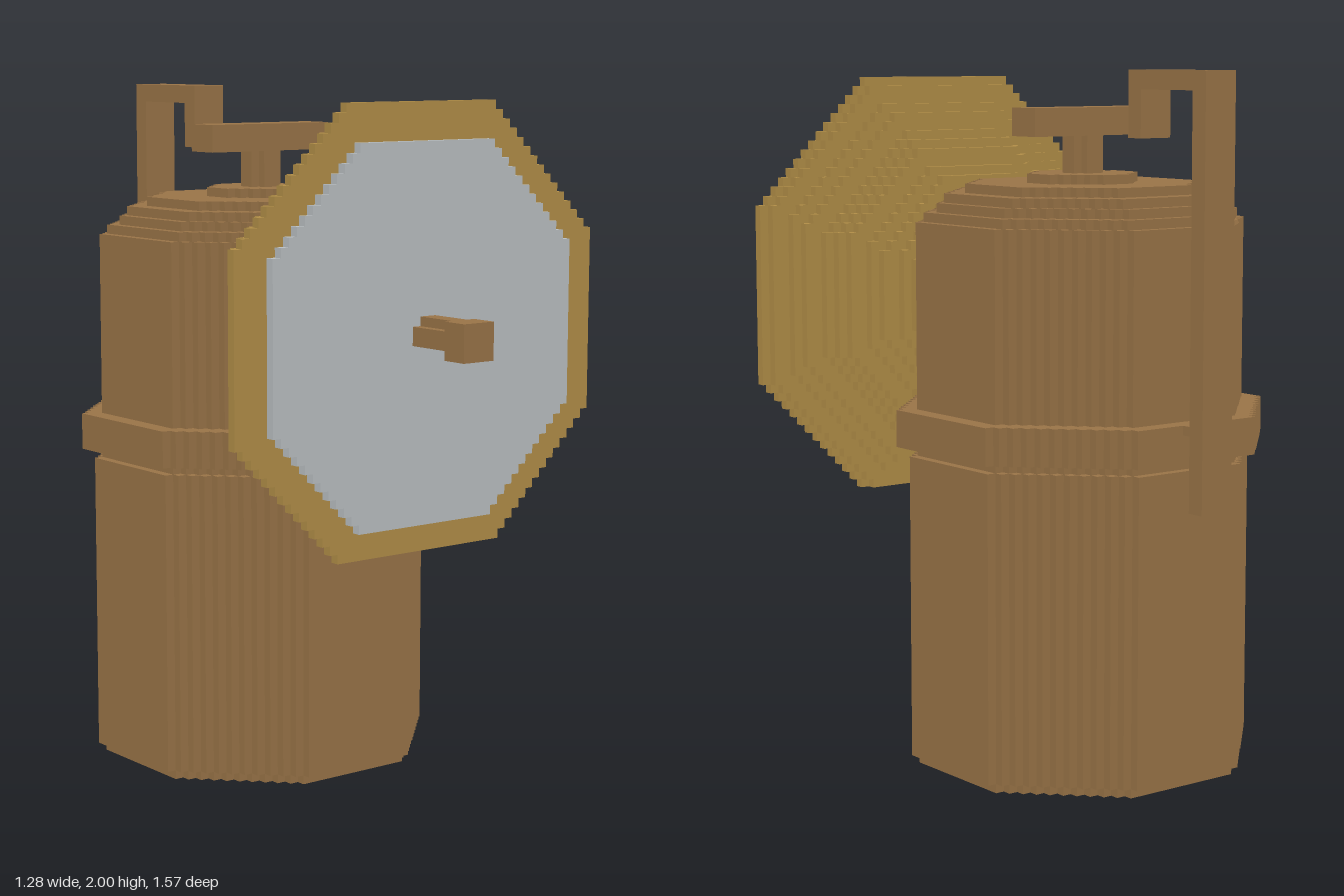
import * as THREE from 'three';

// One block is the unit for every measure below
const V = 2 / 75;

const brown = new THREE.MeshStandardMaterial({ color: 0x9b7548 });
brown.name = 'copper brown';
const gold = new THREE.MeshStandardMaterial({ color: 0xb38f48 });
gold.name = 'brass gold';
const grey = new THREE.MeshStandardMaterial({ color: 0xbcc1c4 });
grey.name = 'mirror grey';

// Octagon with stair-stepped diagonals: half width h, half flat f, optional cut of the lowest rows
function steppedOctagon(h, f = Math.round(h * 0.414), lowest = -h) {
  const quarter = [[f, h]];
  for (let i = 0; i < h - f; i++) quarter.push([f + i, h - i - 1], [f + i + 1, h - i - 1]);
  const back = [...quarter].reverse();
  const all = [
    ...quarter,
    ...back.map(([x, y]) => [x, -y]),
    ...quarter.map(([x, y]) => [-x, -y]),
    ...back.map(([x, y]) => [-x, y]),
  ].map(([x, y]) => new THREE.Vector2(x, Math.max(y, lowest)));
  return new THREE.Shape(all.filter((p, i) => !p.equals(all[(i + 1) % all.length])));
}

function slab(shape, depth) {
  return new THREE.ExtrudeGeometry(shape, { depth, bevelEnabled: false });
}

function addMesh(parent, name, geometry, material) {
  const mesh = new THREE.Mesh(geometry.scale(V, V, V), material);
  mesh.name = name;
  parent.add(mesh);
}

// Box given by its lower and upper limits
function addBox(parent, name, [x0, x1], [y0, y1], [z0, z1], material = brown) {
  const geometry = new THREE.BoxGeometry(x1 - x0, y1 - y0, z1 - z0);
  geometry.translate((x0 + x1) / 2, (y0 + y1) / 2, (z0 + z1) / 2);
  addMesh(parent, name, geometry, material);
}

function addGroup(parent, name) {
  const group = new THREE.Group();
  group.name = name;
  parent.add(group);
  return group;
}

export function createModel() {
  const model = new THREE.Group();
  model.name = 'miningLamp';

  // Upright tank: name, bottom, top, half width
  const tank = addGroup(model, 'tank');
  const layers = [
    ['foot', 0, 1, 17],
    ['lowerTank', 1, 34, 18],
    ['neck', 34, 35, 17],
    ['collar', 35, 39, 19],
    ['upperTank', 39, 59, 17],
    ['shoulder', 59, 60, 16],
    ['shoulder', 60, 61, 15],
    ['shoulder', 61, 62, 14],
    ['lid', 62, 63, 12],
    ['cap', 63, 64, 6],
  ];
  for (const [name, y0, y1, half] of layers) {
    const geometry = slab(steppedOctagon(half), y1 - y0);
    geometry.rotateX(-Math.PI / 2).translate(0, y0, -7.5);
    addMesh(tank, name, geometry, brown);
  }

  // Valve key on the lid
  const valve = addGroup(model, 'valve');
  addBox(valve, 'valveStem', [-2, 2], [64, 68], [-8.5, -6.5]);
  addBox(valve, 'valveStem', [-1, 1], [64, 68], [-9.5, -5.5]);
  addBox(valve, 'valveBar', [-8, 8], [68, 71], [-9.5, -5.5]);

  // Hanging hook at the back
  const hook = addGroup(model, 'hook');
  addBox(hook, 'hookStrap', [-2, 2], [30, 75], [-29.5, -27.5]);
  addBox(hook, 'hookTop', [-2, 2], [73, 75], [-27.5, -17.5]);
  addBox(hook, 'hookTip', [-2, 2], [68, 73], [-19.5, -17.5]);
  addBox(hook, 'hookBracket', [-2, 2], [38, 39], [-27.5, -26.5]);

  // Flared reflector, one slab per step; the rim loses its lowest row
  const reflector = addGroup(model, 'reflector');
  for (let i = -1; i <= 10; i++) {
    const half = Math.round(10 + 1.4 * i);
    const shape = steppedOctagon(half, undefined, i === 10 ? -23 : -half);
    addMesh(reflector, 'reflectorStep', slab(shape, 1).translate(0, 50, 9.5 + i), gold);
  }
  addMesh(reflector, 'mirrorPlate', slab(steppedOctagon(20, 9), 1).translate(0, 50, 20.5), grey);

  // Burner at the middle of the mirror
  const burner = addGroup(model, 'burner');
  addBox(burner, 'burnerArm', [-2, 2], [49, 51], [21.5, 26.5]);
  addBox(burner, 'burnerRidge', [-1, 1], [51, 52], [21.5, 26.5]);
  addBox(burner, 'burnerTip', [-2, 2], [48, 52], [26.5, 29.5]);

  return model;
}
